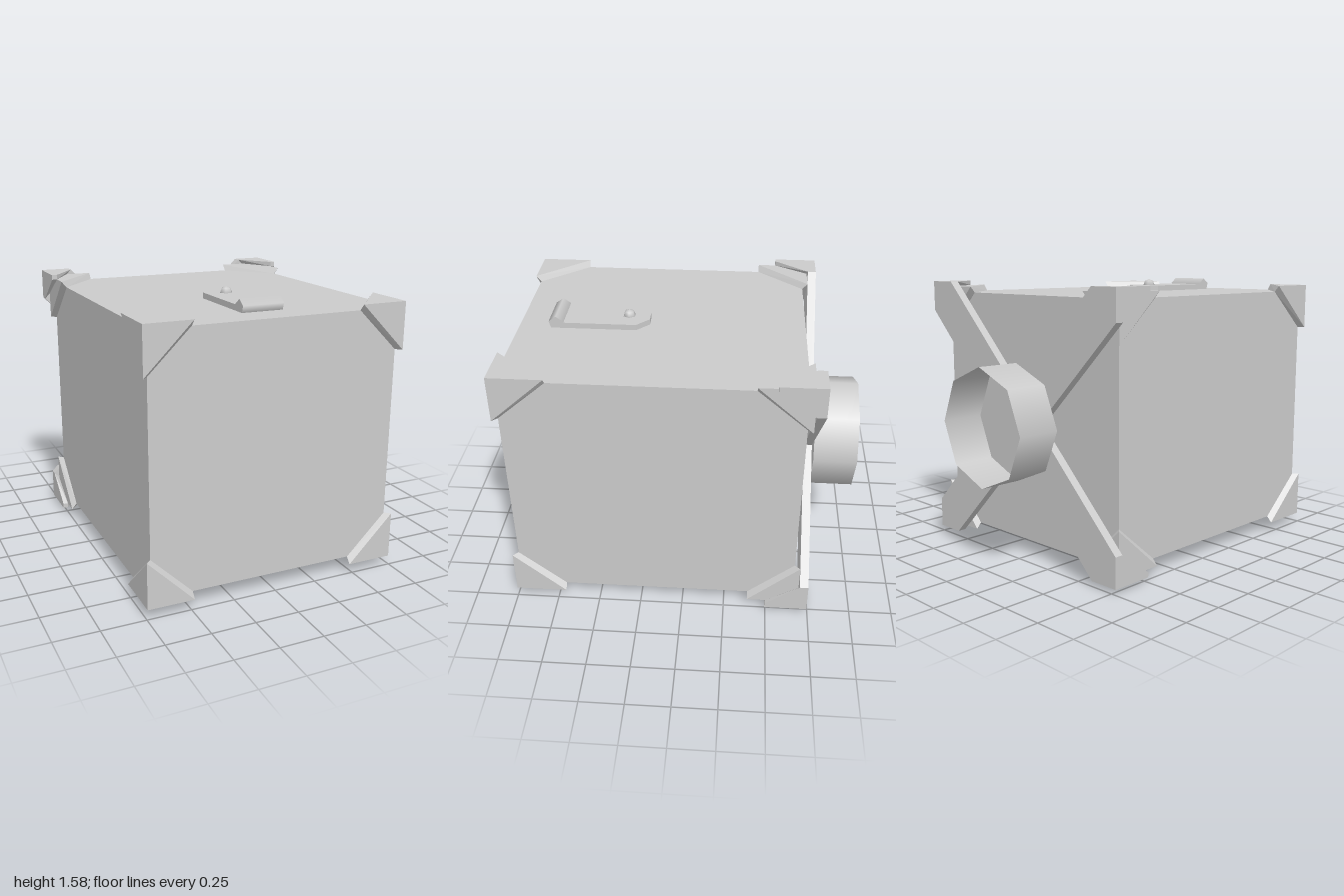
import * as THREE from 'three';
import { ConvexGeometry } from 'three/addons/geometries/ConvexGeometry.js';

const material = new THREE.MeshStandardMaterial({ color: 0xcccccc });
const flat = new THREE.MeshStandardMaterial({ color: 0xcccccc, flatShading: true });
const open = new THREE.MeshStandardMaterial({ color: 0xcccccc, side: THREE.DoubleSide });

const MID_Y = 0.8, MID_Z = 0.155; // centre of the crate body

export function createModel() {
  const group = new THREE.Group();
  const add = (name, geometry, x = 0, y = 0, z = 0, mat = flat) => {
    const mesh = new THREE.Mesh(geometry, mat);
    mesh.name = name;
    mesh.position.set(x, y, z);
    group.add(mesh);
    return mesh;
  };
  // convex solid from points, mirrored by the given signs
  const hull = (points, sx, sy, sz) =>
    new ConvexGeometry(points.map(([x, y, z]) => new THREE.Vector3(x * sx, y * sy, z * sz)));
  // flat outline in xy, extruded along z
  const plate = (points, depth) => new THREE.ExtrudeGeometry(
    new THREE.Shape(points.map(([x, y]) => new THREE.Vector2(x, y))), { depth, bevelEnabled: false });
  // five-sided roll along x; dir = 1 points a corner up, -1 down
  const roll = (radius, width, dir) =>
    new THREE.CylinderGeometry(radius, radius, width, 5).rotateZ(Math.PI / 2).rotateX(-dir * Math.PI / 2);

  // crate body
  add('body', new THREE.BoxGeometry(1.43, 1.42, 1.63), 0, MID_Y, MID_Z);

  // corner guards with sloping edges, on all eight corners
  const guard = [
    [0.745, 0.745, 0.845],
    [0.48, 0.745, 0.845], [0.745, 0.48, 0.845], [0.745, 0.745, 0.545],
    [0.48, 0.71, 0.815], [0.715, 0.48, 0.815], [0.715, 0.71, 0.545],
  ];
  for (const sx of [-1, 1]) for (const sy of [-1, 1]) for (const sz of [-1, 1])
    add('cornerGuard', hull(guard, sx, sy, sz), 0, MID_Y, MID_Z);

  // crossed back straps, each with square-cornered ends
  const strap = [[0.6, 0.773], [0.775, 0.773], [0.775, 0.598], [-0.6, -0.773], [-0.775, -0.773], [-0.775, -0.598]];
  add('backStrap', plate(strap, 0.05), 0, MID_Y, -0.745);
  add('backStrap', plate(strap.map(([x, y]) => [-x, y]).reverse(), 0.05), 0, MID_Y, -0.745);

  // strap ends hooking forward over the rear guards
  const hook = [
    [0.775, 0.773, -0.745], [0.6, 0.773, -0.745], [0.775, 0.598, -0.745],
    [0.6, 0.773, -0.695], [0.775, 0.598, -0.695],
    [0.775, 0.773, -0.495], [0.745, 0.773, -0.495], [0.775, 0.745, -0.495], [0.745, 0.745, -0.495],
  ];
  for (const sx of [-1, 1]) for (const sy of [-1, 1])
    add('strapHook', hull(hook, sx, sy, 1), 0, MID_Y, 0);

  // eight-sided open collar with a closed floor
  add('collar', new THREE.CylinderGeometry(0.337, 0.337, 0.255, 8, 1, true).rotateX(Math.PI / 2),
    0, MID_Y, -0.8725, open);
  add('collarFloor', new THREE.CircleGeometry(0.337, 8).rotateY(Math.PI), 0, MID_Y, -0.749, open);

  // top latch: chamfered tongue, front roll and stud
  const tongue = [[-0.12, -0.76], [0.12, -0.76], [0.12, -0.3], [0.045, -0.228], [-0.045, -0.228], [-0.12, -0.3]];
  add('latchTongue', plate(tongue, 0.035).rotateX(-Math.PI / 2), 0, 1.508, 0);
  add('latchRoll', roll(0.045, 0.24, 1), 0, 1.534, 0.755, material);
  add('latchStud', new THREE.SphereGeometry(0.038, 6, 4), 0, 1.542, 0.35, material);

  // hinge rolls under the front
  for (const sx of [-1, 1])
    add('hingeRoll', roll(0.05, 0.243, -1), sx * 0.356, 0.05, 0.67, material);

  return group;
}
